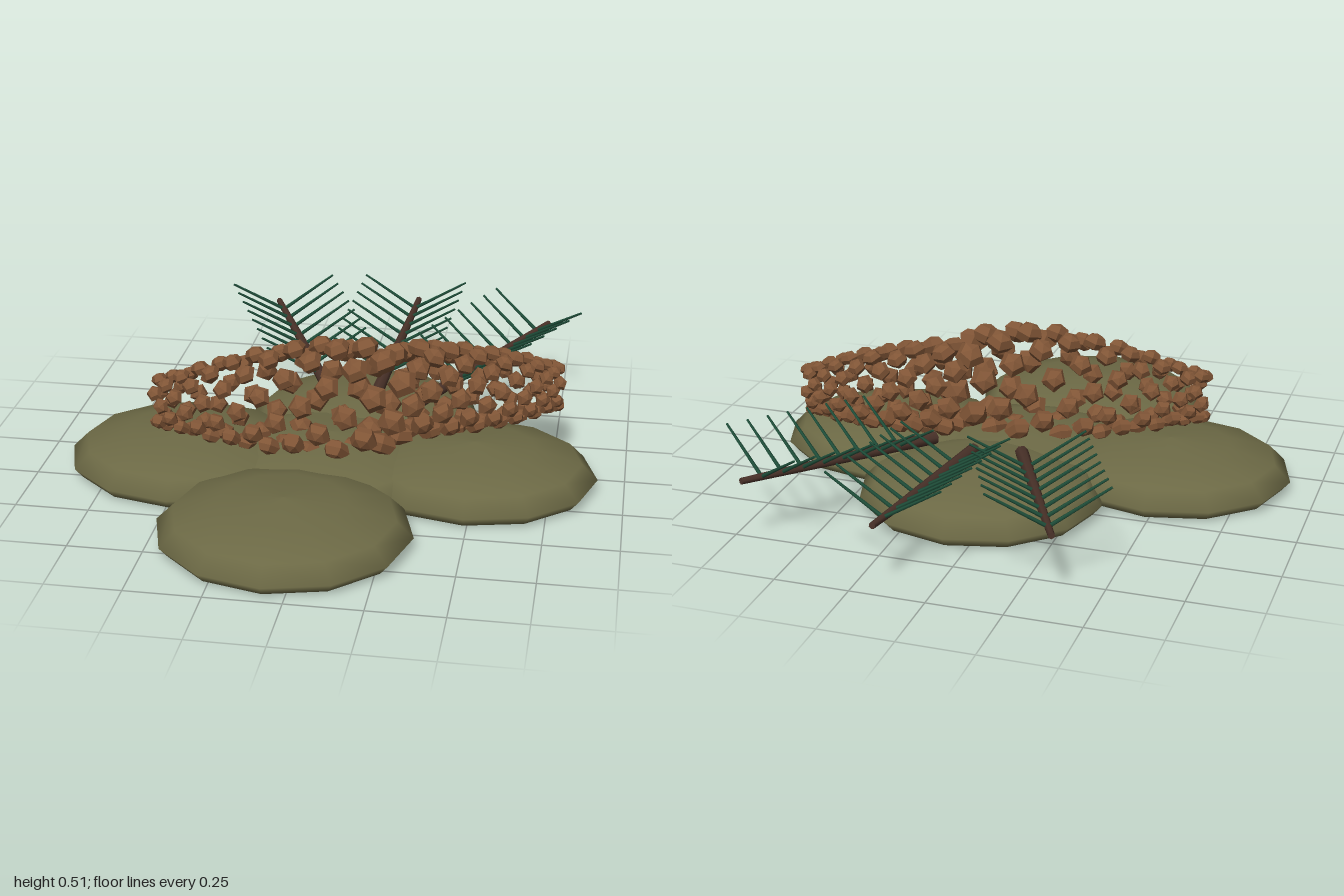
import * as THREE from 'three';

const UP = new THREE.Vector3(0, 1, 0);
const V = (x, y, z) => new THREE.Vector3(x, y, z);
const moss = new THREE.MeshStandardMaterial({ color: 0x6c6945 });
const scaleBrown = new THREE.MeshStandardMaterial({ color: 0x805536 });
const bark = new THREE.MeshStandardMaterial({ color: 0x4a3229 });
const needleGreen = new THREE.MeshStandardMaterial({ color: 0x1f4f3a });
moss.name = 'moss';
scaleBrown.name = 'coneBrown';
bark.name = 'bark';
needleGreen.name = 'needleGreen';

function add(parent, name, geometry, material) {
  const mesh = new THREE.Mesh(geometry, material);
  mesh.name = name;
  parent.add(mesh);
  return mesh;
}

// tapered rod between two points
function rod(parent, name, a, b, r0, r1, sides, material) {
  const dir = b.clone().sub(a);
  const mesh = add(parent, name, new THREE.CylinderGeometry(r1, r0, dir.length(), sides), material);
  mesh.position.copy(a).addScaledVector(dir, 0.5);
  mesh.quaternion.setFromUnitVectors(UP, dir.normalize());
}

// flat-bottomed moss cushion
const padProfile = [[0, 0], [0.6, 0], [0.93, 0.006], [1, 0.04], [0.87, 0.095], [0.5, 0.138], [0, 0.153]]
  .map(([x, y]) => new THREE.Vector2(x, y));
function mossPad(parent, x, y, z, rx, rz) {
  const pad = add(parent, 'mossPad', new THREE.LatheGeometry(padProfile, 12), moss);
  pad.position.set(x, y, z);
  pad.scale.set(rx, 1, rz);
}

// one faceted five-sided cone scale, its pole facing outward
const scaleGeometry = new THREE.SphereGeometry(1, 5, 4).toNonIndexed();
scaleGeometry.computeVertexNormals();

// lying cone: separate scales in a golden-angle spiral around a hollow axis
function pineCone(parent, name, from, to, radii, sizes, count) {
  const cone = new THREE.Group();
  cone.name = name;
  parent.add(cone);
  const axis = to.clone().sub(from).normalize();
  const side = V().crossVectors(axis, UP).normalize();
  const top = V().crossVectors(side, axis);
  const profile = new THREE.SplineCurve(radii.map((r, i) => new THREE.Vector2(i, r)));
  for (let i = 0; i < count; i++) {
    const t = 1 - Math.pow(1 - (i + 0.5) / count, 1.35);
    const angle = i * 2.39996;
    const out = side.clone().multiplyScalar(Math.cos(angle)).addScaledVector(top, Math.sin(angle));
    const s = THREE.MathUtils.lerp(sizes[0], sizes[1], t);
    const scale = add(cone, 'coneScale', scaleGeometry, scaleBrown);
    scale.position.lerpVectors(from, to, t).addScaledVector(out, profile.getPoint(t).y);
    scale.quaternion.setFromUnitVectors(UP, out.clone().addScaledVector(axis, 0.3).normalize());
    scale.scale.set(s, s * 0.75, s);
  }
}

// twig with eight pairs of rising needles
function sprig(parent, a, b) {
  const group = new THREE.Group();
  group.name = 'sprig';
  parent.add(group);
  rod(group, 'twig', a, b, 0.023, 0.011, 7, bark);
  const side = V().crossVectors(b.clone().sub(a), UP).normalize();
  for (let i = 0; i < 8; i++) {
    const root = a.clone().lerp(b, 0.2 + i * 0.1);
    for (const s of [-1, 1]) {
      const tip = root.clone().addScaledVector(side, s * 0.195).add(V(0, 0.12, 0));
      rod(group, 'needle', root, tip, 0.007, 0.004, 5, needleGreen);
    }
  }
}

export function createModel() {
  const model = new THREE.Group();
  model.name = 'forestFloor';

  mossPad(model, 0, 0, 0.08, 0.42, 0.38);
  mossPad(model, -0.49, 0.003, 0.11, 0.42, 0.37);
  mossPad(model, 0.49, 0.003, 0.09, 0.42, 0.36);
  mossPad(model, -0.07, 0.003, 0.6, 0.42, 0.395);
  mossPad(model, 0.07, 0.003, -0.27, 0.42, 0.39);

  pineCone(model, 'largeCone', V(0.26, 0.3, 0.08), V(-0.58, 0.28, 0.21),
    [0.14, 0.18, 0.165, 0.125, 0.075], [0.055, 0.029], 92);
  pineCone(model, 'smallCone', V(0.24, 0.295, 0.01), V(0.75, 0.28, -0.14),
    [0.14, 0.14, 0.125, 0.105, 0.07], [0.047, 0.026], 88);

  sprig(model, V(-0.05, 0.17, -0.2), V(-0.37, 0.235, -0.9));
  sprig(model, V(0.11, 0.17, -0.23), V(0.165, 0.235, -1));
  sprig(model, V(0.27, 0.17, -0.175), V(0.68, 0.235, -0.83));
  return model;
}
